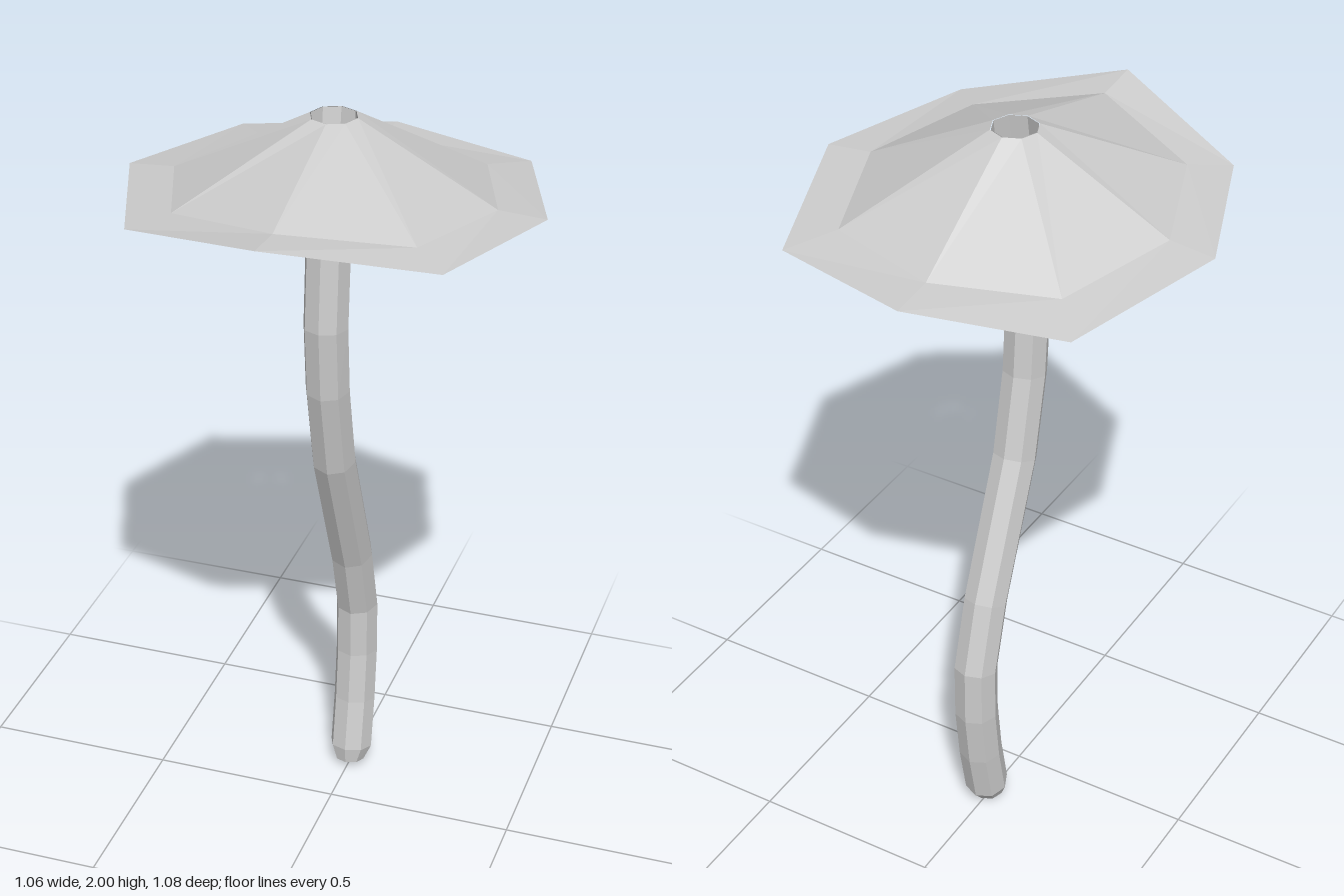
import * as THREE from 'three';

const SIDES = 8;

// Skin a list of equal-sized rings of points with quads
function loft(rings) {
  const pos = rings.flat().flatMap(p => [p.x, p.y, p.z]);
  const index = [];
  for (let i = 0; i < rings.length - 1; i++) {
    for (let j = 0; j < SIDES; j++) {
      const a = i * SIDES + j, b = i * SIDES + (j + 1) % SIDES;
      const c = a + SIDES, d = b + SIDES;
      index.push(a, c, b, b, c, d);
    }
  }
  const g = new THREE.BufferGeometry();
  g.setAttribute('position', new THREE.Float32BufferAttribute(pos, 3));
  g.setIndex(index);
  const flat = g.toNonIndexed();
  flat.computeVertexNormals();
  return flat;
}

// Regular octagon around a centre, tipped forward or back by angle tilt
function octagon(y, z, r, tilt) {
  return Array.from({ length: SIDES }, (_, j) => {
    const a = j / SIDES * Math.PI * 2;
    const d = Math.cos(a) * r;
    return new THREE.Vector3(Math.sin(a) * r, y - d * Math.sin(tilt), z + d * Math.cos(tilt));
  });
}

// Mirror five [x, y, z] points, front to back, into a full ring
function mirroredRing(half) {
  const right = half.map(p => new THREE.Vector3(...p));
  const left = right.slice(1, 4).reverse().map(p => new THREE.Vector3(-p.x, p.y, p.z));
  return [...right, ...left];
}

export function createModel() {
  const group = new THREE.Group();
  const grey = new THREE.MeshStandardMaterial({ color: 0xcccccc });
  grey.name = 'light grey';
  grey.flatShading = true;
  grey.side = THREE.DoubleSide;

  // Cap: hole rim, slope edge and flared outer brim
  const hole = octagon(2, -0.02, 0.06, 0);
  const slope = mirroredRing([
    [0, 1.885, 0.42], [0.3, 1.835, 0.285], [0.41, 1.815, -0.015], [0.3, 1.79, -0.325], [0, 1.79, -0.42]]);
  const brim = mirroredRing([
    [0, 1.896, 0.54], [0.385, 1.817, 0.367], [0.53, 1.805, -0.02], [0.385, 1.765, -0.435], [0, 1.78, -0.54]]);
  const cap = new THREE.Mesh(loft([brim, slope, hole].reverse()), grey);
  cap.name = 'cap';

  // Stem: hollow S-shaped tube, open at the top, as [y, z] centres
  const path = [[0.055, -0.178], [0.2, -0.207], [0.35, -0.225], [0.5, -0.225], [0.69, -0.172],
    [1.06, -0.022], [1.29, 0.028], [1.47, 0.042], [1.8, 0.012], [2, -0.02]];
  const rings = path.map(([y, z], i) => {
    if (i === path.length - 1) return octagon(y, z, 0.058, 0);
    const p = path[Math.max(i - 1, 0)], n = path[i + 1];
    return octagon(y, z, 0.058, Math.atan2(n[1] - p[1], n[0] - p[0]));
  });
  // Rounded foot
  rings.unshift(octagon(0, -0.162, 0.0005, 0), octagon(0.015, -0.165, 0.04, -0.15));
  const stem = new THREE.Mesh(loft(rings.reverse()), grey);
  stem.name = 'stem';

  group.add(cap, stem);
  return group;
}
